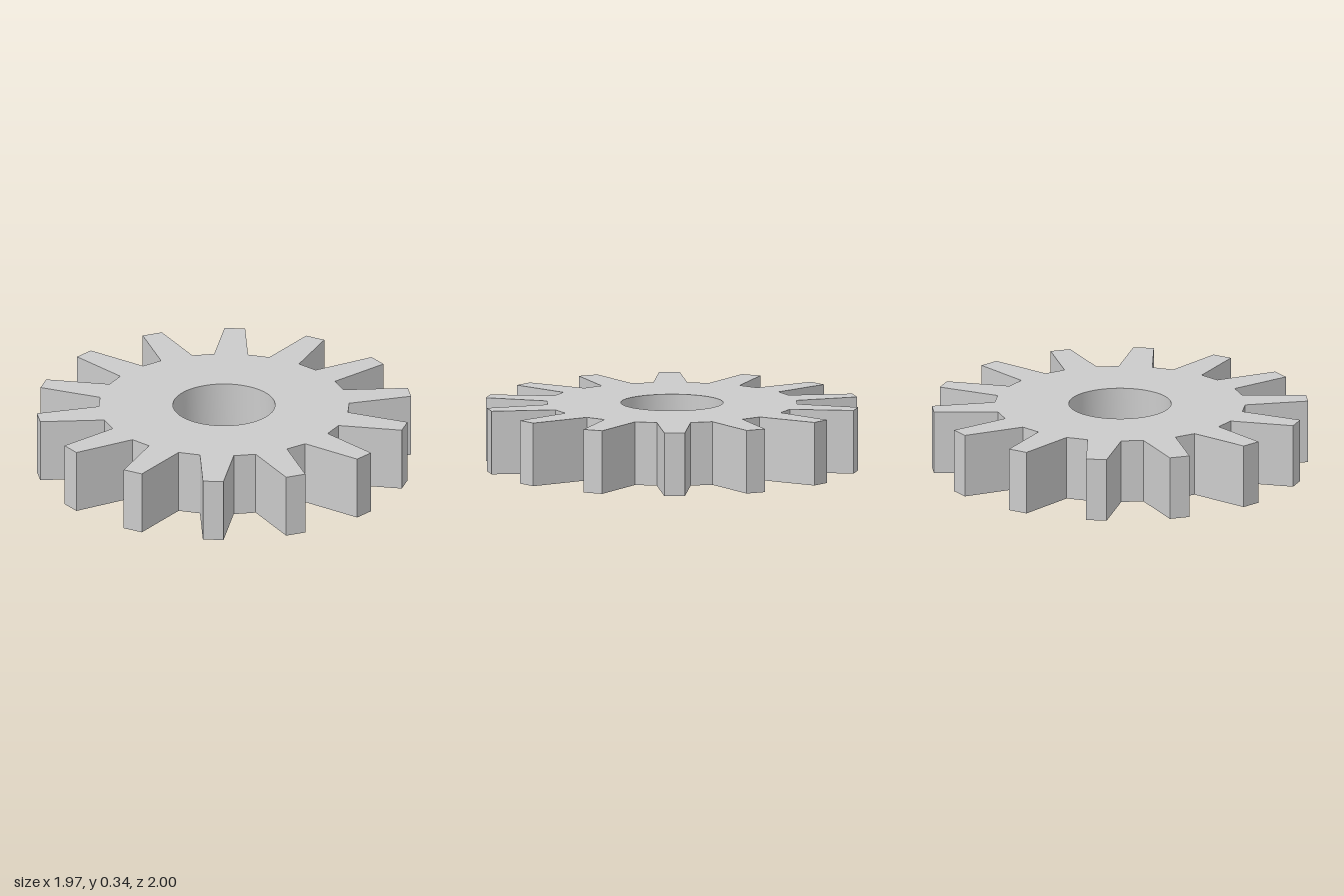
import * as THREE from 'three';
import { toCreasedNormals } from 'three/addons/utils/BufferGeometryUtils.js';

const TEETH = 14;
const HEIGHT = 0.34;
const BORE_RADIUS = 0.272;

// One tooth in its own frame, pointing along +y: root, tip, tip, root
const TOOTH = [[0.09, 0.66], [0.055, 1], [-0.055, 1], [-0.09, 0.66]];

export function createModel() {
  const group = new THREE.Group();
  group.name = 'gear';

  // Toothed outline, counter-clockwise
  const outline = [];
  for (let i = 0; i < TEETH; i++) {
    const angle = (i / TEETH) * Math.PI * 2;
    for (const [x, y] of TOOTH) {
      outline.push(new THREE.Vector2(x, y).rotateAround(new THREE.Vector2(), angle));
    }
  }
  const shape = new THREE.Shape(outline);

  // Round bore for the shaft
  const bore = new THREE.Path();
  bore.absarc(0, 0, BORE_RADIUS, 0, Math.PI * 2, true);
  shape.holes.push(bore);

  // Extrude and lay flat on the ground; only the bore wall is smooth
  const extruded = new THREE.ExtrudeGeometry(shape, {
    depth: HEIGHT, bevelEnabled: false, curveSegments: 32,
  });
  extruded.rotateX(-Math.PI / 2);
  const geometry = toCreasedNormals(extruded, THREE.MathUtils.degToRad(8));

  const wheel = new THREE.Mesh(geometry, new THREE.MeshStandardMaterial({ color: 0xcccccc }));
  wheel.name = 'toothedWheel';
  group.add(wheel);
  return group;
}
